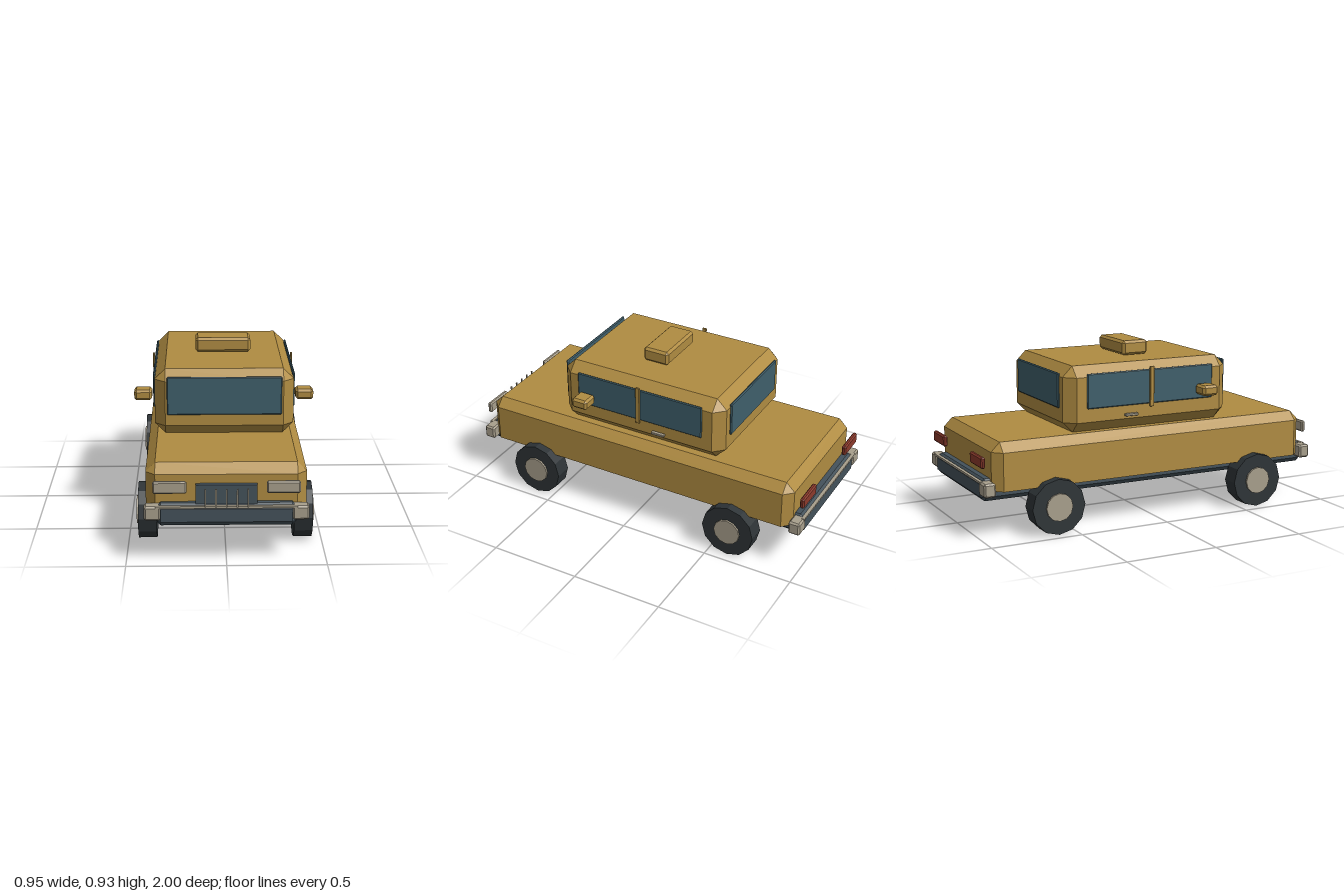
import * as THREE from 'three';
import { ConvexGeometry } from 'three/addons/geometries/ConvexGeometry.js';

const mat = (color) => new THREE.MeshStandardMaterial({ color, flatShading: true });

// Box given by its ranges, with every edge cut by c; flatBottom leaves the lower edges square
function chamferBox([x0, x1], [y0, y1], [z0, z1], c, flatBottom = false) {
  const hx = (x1 - x0) / 2, hy = (y1 - y0) / 2, hz = (z1 - z0) / 2;
  const points = [];
  for (const sx of [-1, 1]) for (const sy of [-1, 1]) for (const sz of [-1, 1]) {
    const add = (x, y, z) => points.push(new THREE.Vector3(sx * x, sy * y, sz * z));
    if (flatBottom && sy < 0) {
      add(hx - c, hy, hz);
      add(hx, hy, hz - c);
    } else {
      add(hx, hy - c, hz - c);
      add(hx - c, hy, hz - c);
      add(hx - c, hy - c, hz);
    }
  }
  return new ConvexGeometry(points).translate((x0 + x1) / 2, (y0 + y1) / 2, (z0 + z1) / 2);
}

export function createModel() {
  const car = new THREE.Group();
  car.name = 'car';
  const paint = mat(0xb08c42), glass = mat(0x3f5f6b), frame = mat(0x44525b);
  const rubber = mat(0x2e3437), chrome = mat(0xa89f8c), red = mat(0x8c3a2c);

  const add = (name, geometry, material) => {
    const mesh = new THREE.Mesh(geometry, material);
    mesh.name = name;
    car.add(mesh);
    return mesh;
  };
  // Same part on the left (+x) and right (-x)
  const addPair = (name, [x0, x1], y, z, c, material) => {
    add(name + 'Left', chamferBox([x0, x1], y, z, c), material);
    add(name + 'Right', chamferBox([-x1, -x0], y, z, c), material);
  };

  // Main shells
  add('chassis', chamferBox([-0.35, 0.35], [0.195, 0.312], [-0.99, 0.97], 0.025), frame);
  add('lowerBody', chamferBox([-0.4, 0.4], [0.25, 0.5], [-0.936, 0.922], 0.048, true), paint);
  add('cabin', chamferBox([-0.365, 0.365], [0.5, 0.85], [-0.518, 0.452], 0.056), paint);
  add('roofBox', chamferBox([-0.15, 0.15], [0.855, 0.933], [-0.083, 0.067], 0.013), paint);

  // Windows
  add('windshield', chamferBox([-0.3, 0.3], [0.617, 0.82], [0.45, 0.464], 0.005), glass);
  add('rearWindow', chamferBox([-0.27, 0.27], [0.627, 0.812], [-0.528, -0.514], 0.005), glass);
  addPair('sideWindow', [0.362, 0.374], [0.627, 0.812], [-0.405, 0.345], 0.005, glass);
  addPair('doorPillar', [0.374, 0.385], [0.612, 0.828], [-0.042, -0.018], 0.002, paint);

  // Door fittings
  addPair('mirror', [0.382, 0.476], [0.656, 0.712], [0.232, 0.325], 0.012, paint);
  addPair('doorHandle', [0.37, 0.391], [0.573, 0.586], [-0.19, -0.115], 0.002, chrome);

  // Lights
  addPair('headlight', [0.197, 0.363], [0.37, 0.432], [0.952, 0.977], 0.007, chrome);
  addPair('taillight', [0.197, 0.363], [0.373, 0.432], [-0.994, -0.97], 0.007, red);

  // Grille and its upright bars
  add('grille', new THREE.BoxGeometry(0.304, 0.11, 0.03).translate(0, 0.351, 0.935), frame);
  for (let i = -2; i <= 2; i++) {
    add('grilleBar', new THREE.BoxGeometry(0.008, 0.094, 0.008).translate(i * 0.0525, 0.354, 0.994), chrome);
  }

  // Bumper corners and trim strips
  addPair('frontBumperCorner', [0.325, 0.408], [0.23, 0.303], [0.912, 0.976], 0.009, chrome);
  addPair('rearBumperCorner', [0.325, 0.408], [0.23, 0.303], [-0.996, -0.932], 0.009, chrome);
  for (const [name, z] of [['frontBumperTrim', 0.968], ['rearBumperTrim', -0.988]]) {
    add(name, new THREE.BoxGeometry(0.7, 0.011, 0.018).translate(0, 0.299, z), chrome);
  }

  // Wheels with hubs
  const tire = new THREE.CylinderGeometry(0.148, 0.148, 0.096, 12).rotateZ(Math.PI / 2);
  const hub = new THREE.CylinderGeometry(0.074, 0.074, 0.116, 12).rotateZ(Math.PI / 2);
  for (const [end, z] of [['front', 0.6], ['rear', -0.605]]) {
    for (const [side, s] of [['Left', 1], ['Right', -1]]) {
      add(end + side + 'Tire', tire, rubber).position.set(s * 0.4, 0.148, z);
      add(end + side + 'Hub', hub, chrome).position.set(s * 0.4, 0.148, z);
    }
  }
  return car;
}
